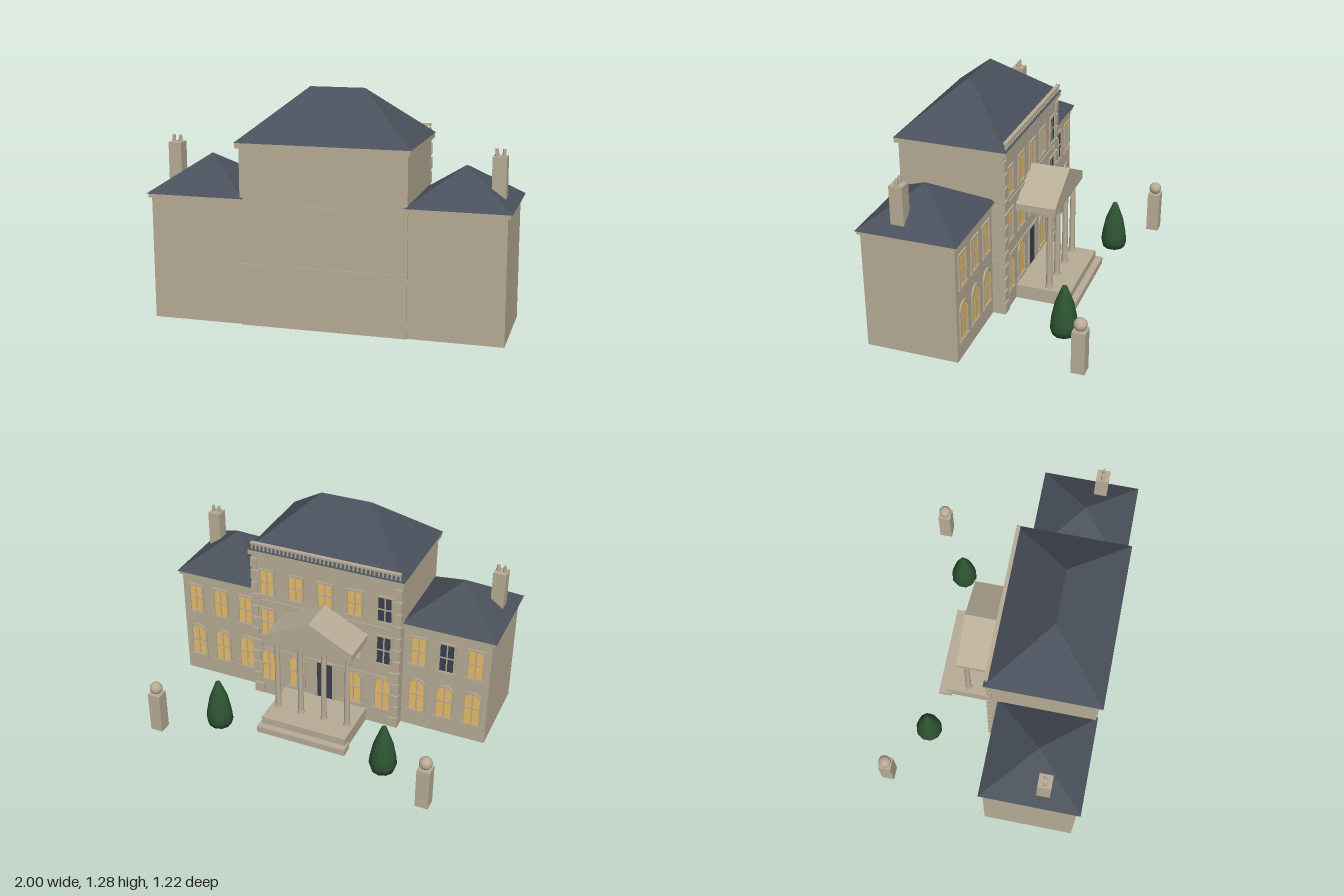
import * as THREE from 'three';

const mat = (name, color, opts = {}) => {
  const m = new THREE.MeshStandardMaterial({ color, ...opts });
  m.name = name;
  return m;
};

export function createModel() {
  const stone = mat('stone', 0xb8ac96);
  const slate = mat('slate', 0x4a515c);
  const litGlass = mat('litGlass', 0xecc06a);
  const darkGlass = mat('darkGlass', 0x3a404e);
  const leaf = mat('leaf', 0x2d5432);

  const root = new THREE.Group();
  root.name = 'countryHouse';

  const add = (name, geo, material, parent = root, x = 0, y = 0, z = 0) => {
    const mesh = new THREE.Mesh(geo, material);
    mesh.name = name;
    mesh.position.set(x, y, z);
    parent.add(mesh);
    return mesh;
  };
  // Box given by its extents
  const box = (name, x0, x1, y0, y1, z0, z1, material = stone, parent = root) =>
    add(name, new THREE.BoxGeometry(x1 - x0, y1 - y0, z1 - z0), material, parent,
      (x0 + x1) / 2, (y0 + y1) / 2, (z0 + z1) / 2);

  // Hipped roof: a box whose top is pulled in to a ridge
  const hipRoof = (name, cx, cz, w, d, y0, y1, ridgeHalf) => {
    const geo = new THREE.BoxGeometry(w, y1 - y0, d);
    const p = geo.attributes.position;
    for (let i = 0; i < p.count; i++) {
      if (p.getY(i) > 0) {
        p.setX(i, Math.sign(p.getX(i)) * ridgeHalf);
        p.setZ(i, 0);
      }
    }
    geo.computeVertexNormals();
    add(name, geo, slate, root, cx, (y0 + y1) / 2, cz);
  };

  // Outline of a window or doorway, with a round head if arched
  const outline = (Type, w, y0, y1, arched) => {
    const s = new Type();
    const r = w / 2;
    s.moveTo(-r, y0);
    s.lineTo(r, y0);
    if (arched) {
      s.lineTo(r, y1 - r);
      s.absarc(0, y1 - r, r, 0, Math.PI, false);
    } else {
      s.lineTo(r, y1);
      s.lineTo(-r, y1);
    }
    s.lineTo(-r, y0);
    return s;
  };

  // Opening in the entrance wall: surround, pane, glazing bars and sill
  const opening = (name, x, y, z, w, h, pane, arched = false, isDoor = false) => {
    const g = new THREE.Group();
    g.name = name;
    g.position.set(x, y, z);
    g.rotation.y = Math.PI;
    root.add(g);
    const t = 0.011;
    const surround = outline(THREE.Shape, w + 2 * t, isDoor ? 0 : -t, h + t, arched);
    surround.holes.push(outline(THREE.Path, w, isDoor ? 0.001 : 0, h, arched));
    add('surround', new THREE.ExtrudeGeometry(surround,
      { depth: 0.009, bevelEnabled: false, curveSegments: 10 }), stone, g);
    add('pane', new THREE.ShapeGeometry(outline(THREE.Shape, w, 0, h, arched), 10), pane, g, 0, 0, 0.002);
    if (isDoor) return;
    box('verticalBar', -0.004, 0.004, 0, h, 0.001, 0.005, stone, g);
    box('crossBar', -w / 2, w / 2, h * 0.5 - 0.004, h * 0.5 + 0.004, 0.001, 0.005, stone, g);
    box('sill', -w / 2 - 0.018, w / 2 + 0.018, -0.018, -0.004, 0, 0.012, stone, g);
  };

  // Main block
  const front = -0.02;
  box('mainBlock', -0.46, 0.46, 0, 0.985, front, 0.585);
  for (const y of [0.34, 0.675]) box('stringCourse', -0.463, 0.463, y - 0.008, y + 0.008, front - 0.006, 0.591);
  box('mainCornice', -0.475, 0.475, 0.98, 1.01, -0.04, 0.605);
  hipRoof('mainRoof', 0, 0.282, 0.96, 0.65, 1.01, 1.285, 0.153);

  // Parapet balustrade above the entrance front
  box('balustradeRail', -0.455, 0.455, 1.048, 1.06, -0.042, -0.02);
  const balusterGeo = new THREE.CylinderGeometry(0.005, 0.007, 0.05, 6);
  for (let i = 0; i <= 36; i++) add('baluster', balusterGeo, stone, root, -0.45 + i * 0.025, 1.027, -0.031);

  // Corner stones, alternating long and short
  for (const s of [-1, 1]) {
    for (let i = 0; i < 12; i++) {
      const half = i % 2 ? 0.02 : 0.03;
      add('quoin', new THREE.BoxGeometry(half * 2, 0.064, half + 0.002), stone, root,
        s * (0.465 - half), 0.04 + i * 0.08, -0.03 + half / 2);
    }
  }

  // Windows of the main block, with the entrance door in the middle
  for (let i = -2; i <= 2; i++) {
    const x = i * 0.183;
    const pane = i === -2 ? darkGlass : litGlass;
    opening('topWindow', x, 0.725, front, 0.082, 0.155, pane);
    opening('middleWindow', x, 0.44, front, 0.082, 0.18, pane);
    if (i === 0) opening('door', x, 0.085, front, 0.1, 0.25, darkGlass, false, true);
    else opening('archedWindow', x, 0.12, front, 0.09, 0.21, litGlass, true);
  }

  // Side wings with roofs, chimneys and windows
  const potGeo = new THREE.CylinderGeometry(0.009, 0.011, 0.04, 10);
  for (const s of [-1, 1]) {
    add('wing', new THREE.BoxGeometry(0.525, 0.69, 0.525), stone, root, s * 0.7125, 0.345, 0.3125);
    add('wingCornice', new THREE.BoxGeometry(0.545, 0.022, 0.55), stone, root, s * 0.7175, 0.694, 0.3125);
    hipRoof('wingRoof', s * 0.72, 0.3125, 0.56, 0.565, 0.705, 0.9, 0);
    add('chimney', new THREE.BoxGeometry(0.075, 0.255, 0.075), stone, root, s * 0.903, 0.8375, 0.377);
    for (const dx of [-0.019, 0.019]) add('chimneyPot', potGeo, stone, root, s * 0.903 + dx, 0.983, 0.377);
    for (let i = -1; i <= 1; i++) {
      const x = s * 0.72 + i * 0.168;
      opening('wingWindow', x, 0.44, 0.05, 0.082, 0.18, s < 0 && i === 0 ? darkGlass : litGlass);
      opening('wingArchedWindow', x, 0.12, 0.05, 0.09, 0.21, litGlass, true);
    }
  }

  // Portico: steps, columns, entablature and gabled pediment
  box('porticoFloor', -0.265, 0.265, 0, 0.085, -0.342, 0);
  box('lowerStep', -0.278, 0.278, 0, 0.04, -0.383, -0.305);
  const shaftGeo = new THREE.CylinderGeometry(0.015, 0.018, 0.45, 14);
  const ringGeo = new THREE.CylinderGeometry(0.022, 0.024, 0.014, 14);
  for (let i = 0; i < 4; i++) {
    const x = -0.22 + i * 0.44 / 3;
    add('columnShaft', shaftGeo, stone, root, x, 0.323, -0.205);
    add('columnBase', ringGeo, stone, root, x, 0.092, -0.205);
    box('columnCapital', x - 0.025, x + 0.025, 0.547, 0.567, -0.23, -0.18);
  }
  box('entablature', -0.262, 0.262, 0.565, 0.61, -0.25, 0);
  const gable = new THREE.Shape();
  gable.moveTo(-0.265, 0.61);
  gable.lineTo(0.265, 0.61);
  gable.lineTo(0, 0.745);
  add('pediment', new THREE.ExtrudeGeometry(gable, { depth: 0.25, bevelEnabled: false }), stone, root, 0, 0, -0.25);

  // Clipped trees and gate posts
  const treeProfile = [[0, 0], [0.068, 0], [0.08, 0.04], [0.075, 0.09], [0.056, 0.185], [0.014, 0.295], [0, 0.305]]
    .map(([r, y]) => new THREE.Vector2(r, y));
  const treeGeo = new THREE.LatheGeometry(treeProfile, 10);
  const ballGeo = new THREE.SphereGeometry(0.037, 20, 14);
  for (const s of [-1, 1]) {
    add('clippedTree', treeGeo, leaf, root, s * 0.518, 0, -0.39);
    add('gatePost', new THREE.BoxGeometry(0.075, 0.25, 0.075), stone, root, s * 0.825, 0.125, -0.572);
    add('gatePostBall', ballGeo, stone, root, s * 0.825, 0.284, -0.572);
  }
  return root;
}
